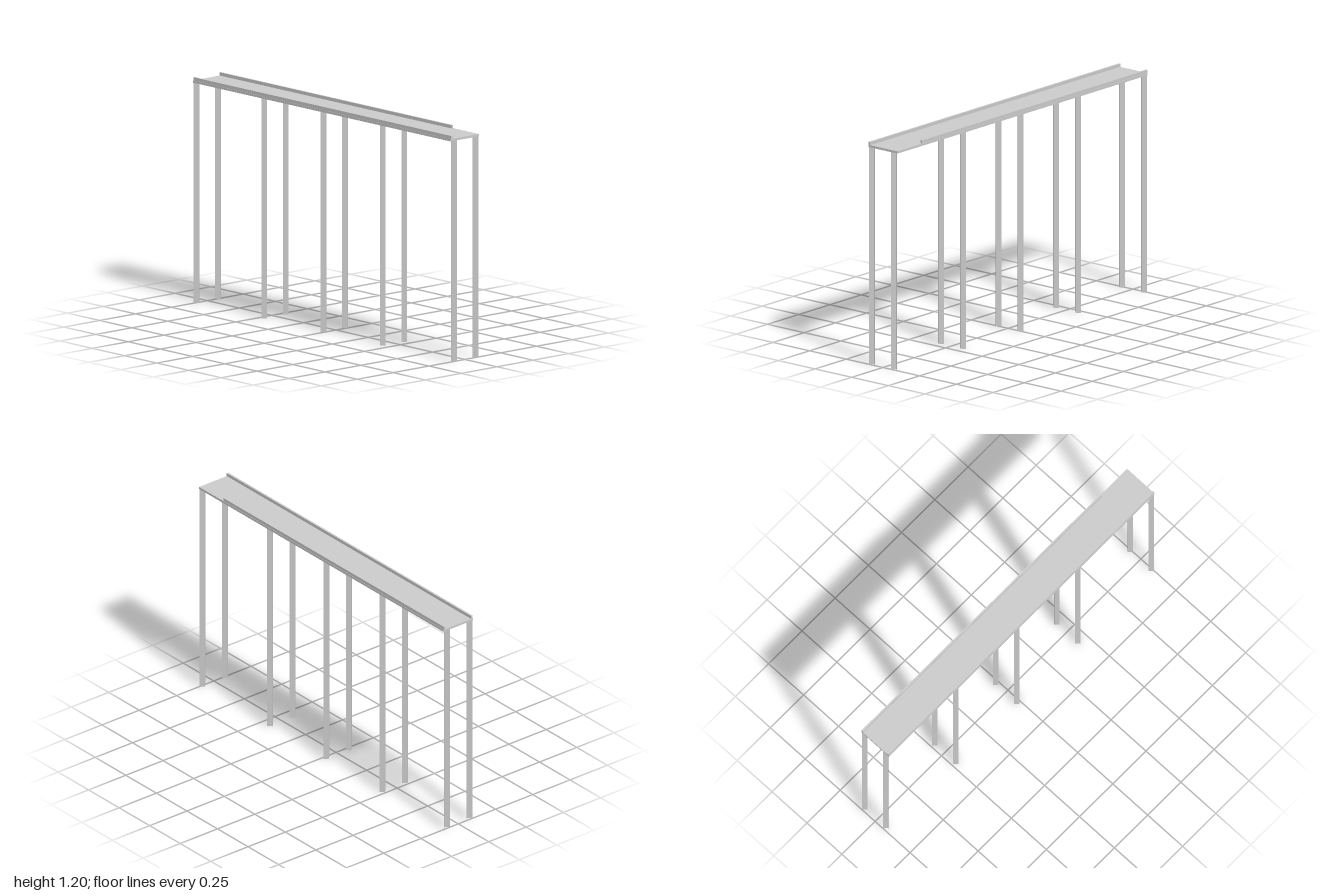
import * as THREE from 'three';

export function createModel() {
  const group = new THREE.Group();
  const grey = new THREE.MeshStandardMaterial({ color: 0xcccccc, flatShading: true });
  const sheet = new THREE.MeshStandardMaterial({ color: 0xcccccc, flatShading: true, side: THREE.DoubleSide });
  const deckBottom = 1.169, deckTop = 1.181, railTop = 1.198, postRadius = 0.02;

  const add = (name, geometry, material, x, y, z) => {
    const mesh = new THREE.Mesh(geometry, material);
    mesh.name = name;
    mesh.position.set(x, y, z);
    group.add(mesh);
  };
  const box = (name, x0, x1, y0, y1, z0, z1) =>
    add(name, new THREE.BoxGeometry(x1 - x0, y1 - y0, z1 - z0), grey,
      (x0 + x1) / 2, (y0 + y1) / 2, (z0 + z1) / 2);

  // Long flat deck with a low rail on each edge; the back rail stops short
  box('deck', -1, 1, deckBottom, deckTop, -0.099, 0.099);
  box('frontRail', -1, 1, deckTop, railTop, 0.087, 0.097);
  box('backRail', -1, 0.8, deckTop, railTop, -0.097, -0.087);

  for (const z of [-0.075, 0.075]) {
    // Square posts turned 45 degrees
    for (const x of [-0.473, -0.013, 0.447]) {
      add('post', new THREE.CylinderGeometry(postRadius, postRadius, deckBottom, 4), grey, x, deckBottom / 2, z);
    }
    // Open V-shaped half posts at both ends, point facing inward
    for (const side of [-1, 1]) {
      const half = new THREE.CylinderGeometry(postRadius, postRadius, deckBottom, 2, 1, true,
        side > 0 ? Math.PI : 0, Math.PI);
      add('endPost', half, sheet, side, deckBottom / 2, z);
    }
  }
  return group;
}
